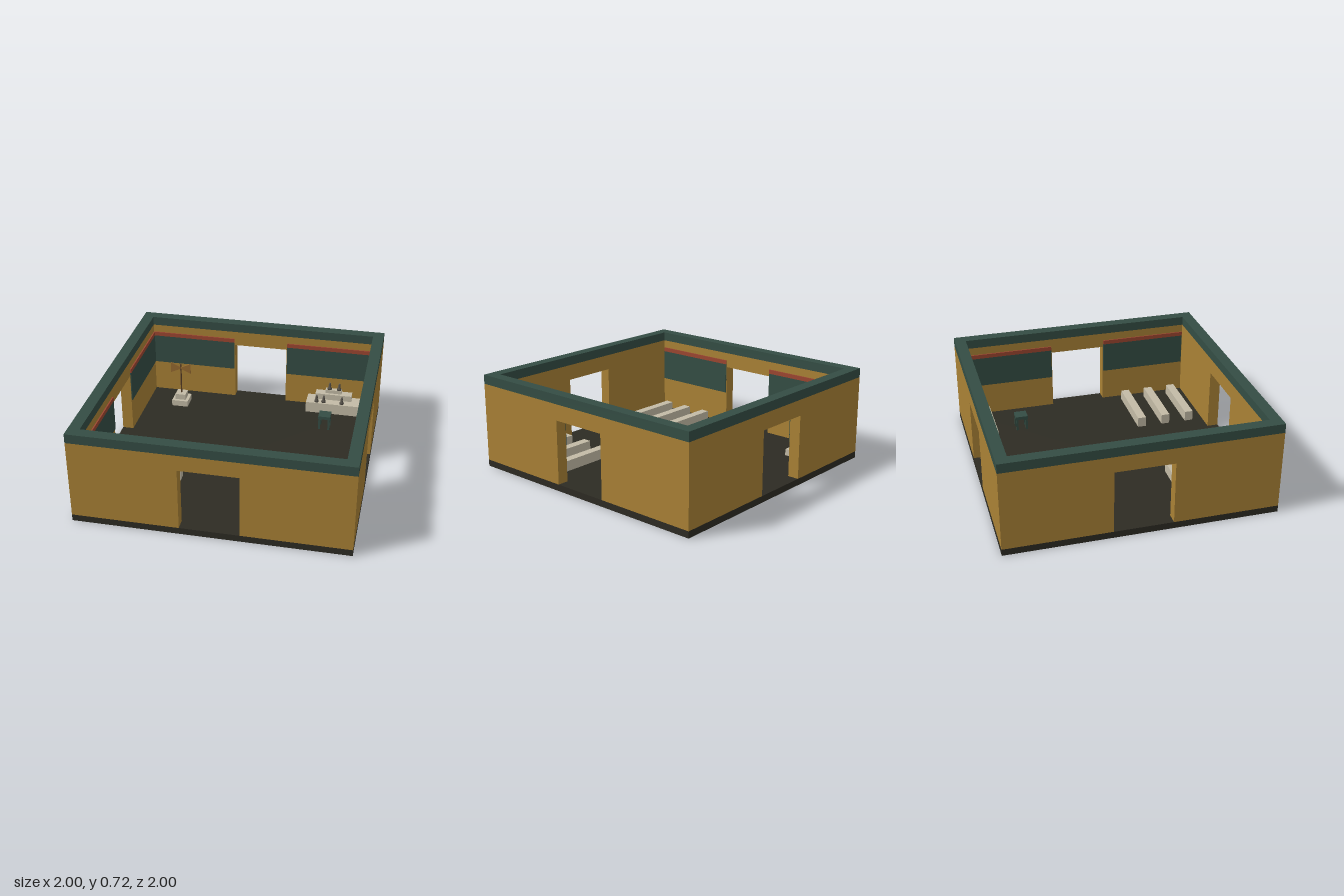
import * as THREE from 'three';

const mat = (name, color) => Object.assign(new THREE.MeshStandardMaterial({ color }), { name });

export function createModel() {
  const ochre = mat('ochre plaster', 0xa98135);
  const teal = mat('teal paint', 0x344d44);
  const dark = mat('dark floor', 0x2d2b23);
  const red = mat('red trim', 0x9c4630);
  const stone = mat('pale stone', 0xc3bba6);
  const bronze = mat('bronze', 0x94692f);
  const wood = mat('dark wood', 0x5a4028);
  const clay = mat('dark clay', 0x57524a);

  const model = new THREE.Group();
  model.name = 'shrineRoom';
  const add = (parent, name, geo, material, x = 0, y = 0, z = 0) => {
    const m = new THREE.Mesh(geo, material);
    m.name = name;
    m.position.set(x, y, z);
    parent.add(m);
    return m;
  };
  // Box given by its lower and upper limits
  const box = (parent, name, material, x0, x1, y0, y1, z0, z1) =>
    add(parent, name, new THREE.BoxGeometry(x1 - x0, y1 - y0, z1 - z0), material,
      (x0 + x1) / 2, (y0 + y1) / 2, (z0 + z1) / 2);
  const group = (name, x = 0, y = 0, z = 0) => {
    const g = new THREE.Group();
    g.name = name;
    g.position.set(x, y, z);
    model.add(g);
    return g;
  };

  const IN = 0.915, FLOOR = 0.05, TOP = 0.65, DOOR = 0.217, HEAD = 0.53;

  box(model, 'floorSlab', dark, -1, 1, 0, FLOOR, -1, 1);

  // Four walls, each with a central doorway, a cornice and inner wall panels
  ['frontWall', 'leftWall', 'backWall', 'rightWall'].forEach((name, i) => {
    const wall = group(name);
    wall.rotation.y = i * Math.PI / 2;
    const half = i % 2 ? IN : 1;
    const outline = [[-half, FLOOR], [-DOOR, FLOOR], [-DOOR, HEAD], [DOOR, HEAD],
      [DOOR, FLOOR], [half, FLOOR], [half, TOP], [-half, TOP]];
    const shape = new THREE.Shape(outline.map(([x, y]) => new THREE.Vector2(x, y)));
    add(wall, 'wallWithDoorway',
      new THREE.ExtrudeGeometry(shape, { depth: 1 - IN, bevelEnabled: false }), ochre, 0, 0, IN);
    box(wall, 'cornice', teal, -half, half, TOP, 0.72, IN, 1);
    if (i === 0) return;
    for (const [a, b] of [[-IN + 0.005, -0.222], [0.222, IN - 0.005]]) {
      box(wall, 'paintedPanel', teal, a, b, 0.31, 0.555, IN - 0.008, IN);
      box(wall, 'redBand', red, a, b, 0.555, 0.588, IN - 0.01, IN);
    }
  });

  // Two rows of stone benches
  for (const x of [-0.6, 0.6])
    for (const z of [0.397, 0.597, 0.797])
      box(model, 'bench', stone, x - 0.25, x + 0.25, FLOOR, 0.13, z - 0.033, z + 0.033);

  // Double axe on a stepped pedestal
  const stand = group('axeStand', -0.635, 0, -0.707);
  box(stand, 'lowerStep', stone, -0.067, 0.067, FLOOR, 0.1, -0.067, 0.067);
  box(stand, 'upperStep', stone, -0.043, 0.043, 0.1, 0.148, -0.043, 0.043);
  add(stand, 'shaft', new THREE.CylinderGeometry(0.006, 0.006, 0.265, 8), wood, 0, 0.28, 0);
  for (const s of [-1, 1]) {
    const blade = new THREE.Shape([[0, -0.007], [0.083, -0.045], [0.083, 0.045], [0, 0.007]]
      .map(([x, y]) => new THREE.Vector2(x, y)));
    const m = add(stand, 'axeBlade',
      new THREE.ExtrudeGeometry(blade, { depth: 0.009, bevelEnabled: false }), bronze,
      0, 0.377, s * -0.0045);
    m.rotation.y = s < 0 ? Math.PI : 0;
  }

  // Stepped altar against the back wall
  const altar = group('altar');
  box(altar, 'altarBench', stone, 0.412, 0.847, FLOOR, 0.14, -0.912, -0.767);
  box(altar, 'altarLedge', stone, 0.48, 0.78, 0.14, 0.19, -0.912, -0.84);
  box(altar, 'altarShelf', stone, 0.56, 0.695, 0.19, 0.22, -0.9, -0.862);

  // Small clay figures
  const profile = [[0, 0], [0.019, 0], [0.016, 0.015], [0.008, 0.03], [0.012, 0.04],
    [0.005, 0.048], [0.009, 0.056], [0, 0.064]].map(([r, y]) => new THREE.Vector2(r, y));
  const figure = new THREE.LatheGeometry(profile, 8);
  for (const [x, y, z] of [[0.497, 0.14, -0.795], [0.556, 0.14, -0.795], [0.706, 0.14, -0.795],
    [0.593, 0.22, -0.881], [0.672, 0.22, -0.881]])
    add(altar, 'clayFigure', figure, clay, x, y, z);

  // Four-legged stool
  const stool = group('stool', 0.598, 0, -0.553);
  box(stool, 'seat', teal, -0.048, 0.048, 0.145, 0.17, -0.048, 0.048);
  for (const x of [-0.038, 0.038])
    for (const z of [-0.038, 0.038])
      box(stool, 'stoolLeg', teal, x - 0.008, x + 0.008, FLOOR, 0.145, z - 0.008, z + 0.008);

  return model;
}
